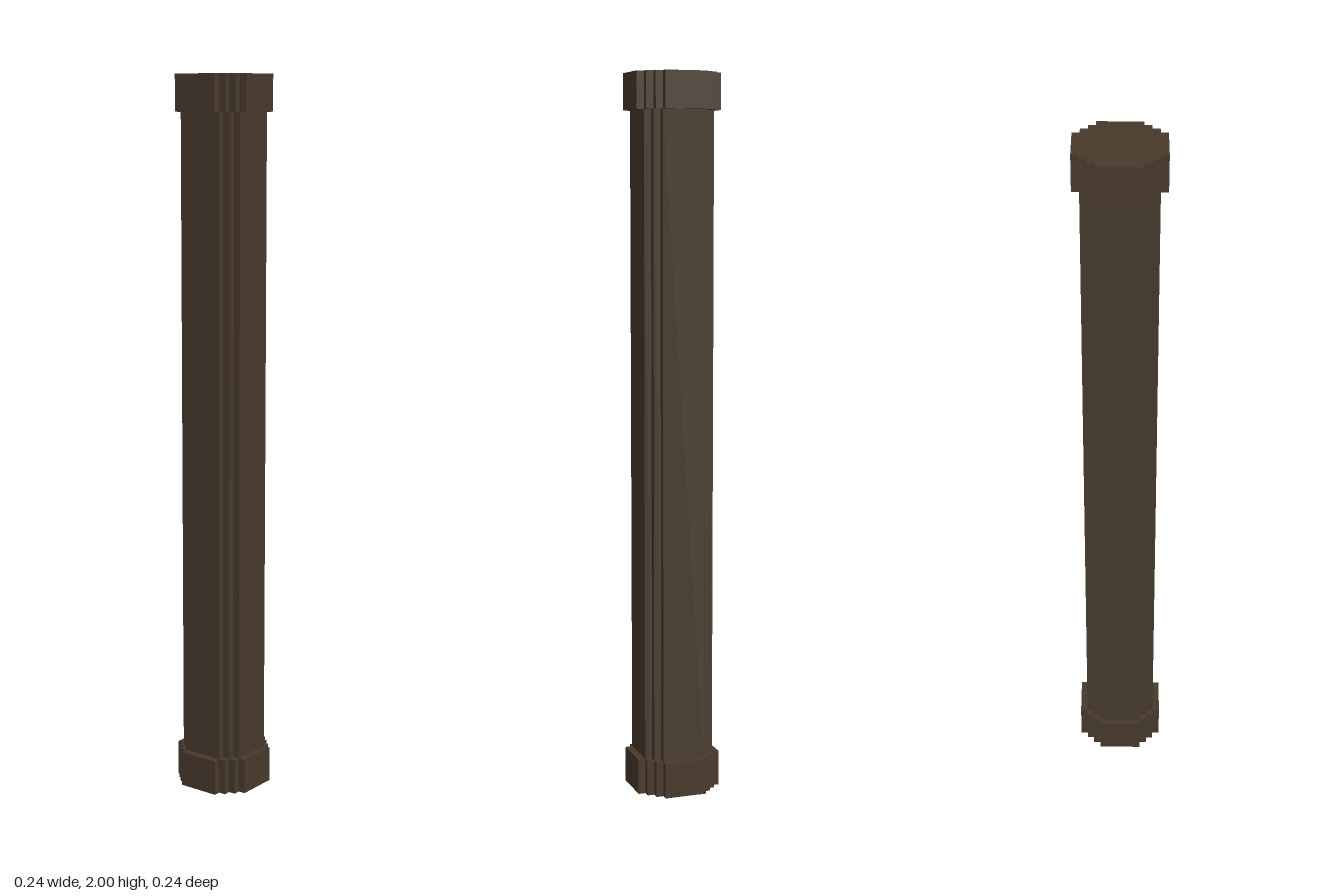
import * as THREE from 'three';

// Stepped octagon outline: corners of one quadrant, rotated four times
function steppedOutline(corners) {
  const points = [];
  for (let q = 0; q < 4; q++) {
    const c = Math.round(Math.cos(q * Math.PI / 2));
    const s = Math.round(Math.sin(q * Math.PI / 2));
    for (const [x, y] of corners) points.push(new THREE.Vector2(c * x - s * y, s * x + c * y));
  }
  return new THREE.Shape(points);
}

// Upright prism with the given outline, standing on bottom
function prism(name, corners, bottom, height, material) {
  const geometry = new THREE.ExtrudeGeometry(steppedOutline(corners), { depth: height, bevelEnabled: false });
  geometry.rotateX(-Math.PI / 2);
  const mesh = new THREE.Mesh(geometry, material);
  mesh.name = name;
  mesh.position.y = bottom;
  return mesh;
}

export function createModel() {
  const model = new THREE.Group();
  model.name = 'pillar';
  const wood = new THREE.MeshStandardMaterial({ color: 0x483a2c });
  wood.name = 'dark brown';

  const shaft = [[0.10, -0.06], [0.10, 0.06], [0.08, 0.06], [0.08, 0.08], [0.06, 0.08], [0.06, 0.10]];
  const cap = [[0.12, -0.06], [0.12, 0.06], [0.10, 0.06], [0.10, 0.08],
    [0.08, 0.08], [0.08, 0.10], [0.06, 0.10], [0.06, 0.12]];

  // Long shaft between two wider end caps
  model.add(prism('shaft', shaft, 0.1, 1.8, wood));
  model.add(prism('bottomCap', cap, 0, 0.1, wood));
  model.add(prism('topCap', cap, 1.9, 0.1, wood));
  return model;
}
